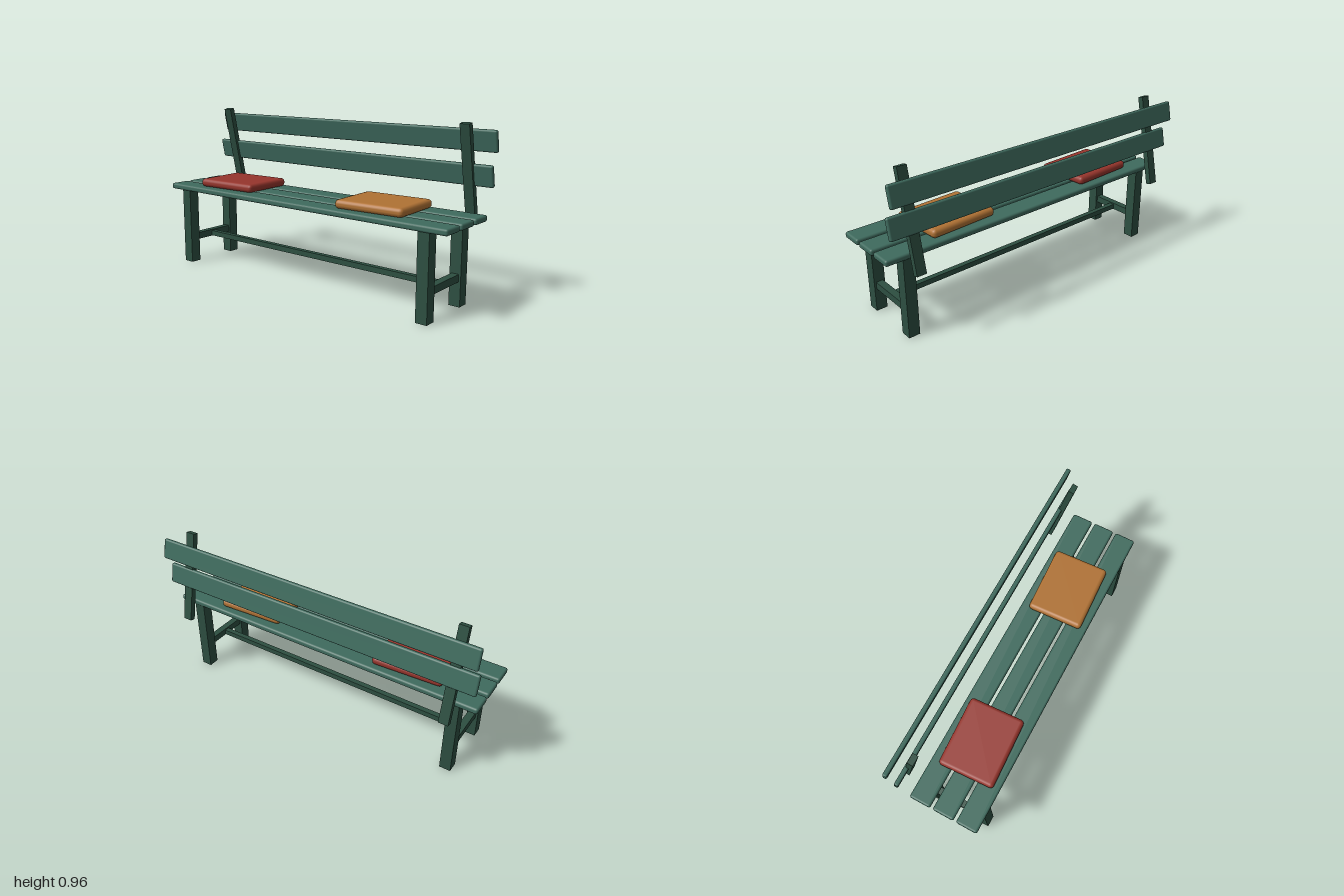
import * as THREE from 'three';
import { RoundedBoxGeometry } from 'three/addons/geometries/RoundedBoxGeometry.js';

export function createModel() {
  const bench = new THREE.Group();
  bench.name = 'bench';

  const paint = (color) => new THREE.MeshStandardMaterial({ color });
  const frame = paint(0x2d4f41);
  const slat = paint(0x3f6b5e);
  const red = paint(0x96352c);
  const ochre = paint(0xb07234);

  function add(name, geometry, material, x, y, z) {
    const mesh = new THREE.Mesh(geometry, material);
    mesh.name = name;
    mesh.position.set(x, y, z);
    bench.add(mesh);
    return mesh;
  }
  const box = (w, h, d) => new THREE.BoxGeometry(w, h, d);

  const lean = 0.21; // back tilt in radians
  const legX = 0.867;

  // Legs, side stretchers and back posts, mirrored left and right
  for (const [side, s] of [['left', 1], ['right', -1]]) {
    add(side + 'FrontLeg', box(0.066, 0.466, 0.066), frame, s * legX, 0.233, 0.223);
    add(side + 'BackLeg', box(0.066, 0.466, 0.066), frame, s * legX, 0.233, -0.112);
    add(side + 'SideStretcher', box(0.042, 0.042, 0.272), frame, s * legX, 0.158, 0.055);
    add(side + 'BackPost', box(0.056, 0.554, 0.033), frame, s * legX, 0.69, -0.188).rotation.x = lean;
  }

  // Long stretcher between the two side stretchers
  add('longStretcher', box(1.7, 0.032, 0.032), frame, 0, 0.155, 0.055);

  // Seat slats
  [0.201, 0.056, -0.089].forEach((z, i) =>
    add('seatSlat' + (i + 1), new RoundedBoxGeometry(2, 0.035, 0.127, 2, 0.012), slat, 0, 0.482, z));

  // Backrest slats
  [[0.689, -0.2], [0.867, -0.231]].forEach(([y, z], i) => {
    const board = add('backSlat' + (i + 1), new RoundedBoxGeometry(2, 0.12, 0.026, 2, 0.01), slat, 0, y, z);
    board.rotation.x = lean;
  });

  // Seat cushions, turned slightly
  for (const [name, x, material] of [['redCushion', -0.558, red], ['ochreCushion', 0.499, ochre]]) {
    const cushion = add(name, new RoundedBoxGeometry(0.415, 0.05, 0.332, 2, 0.022), material, x, 0.525, 0.054);
    cushion.rotation.y = 0.05;
  }

  return bench;
}
